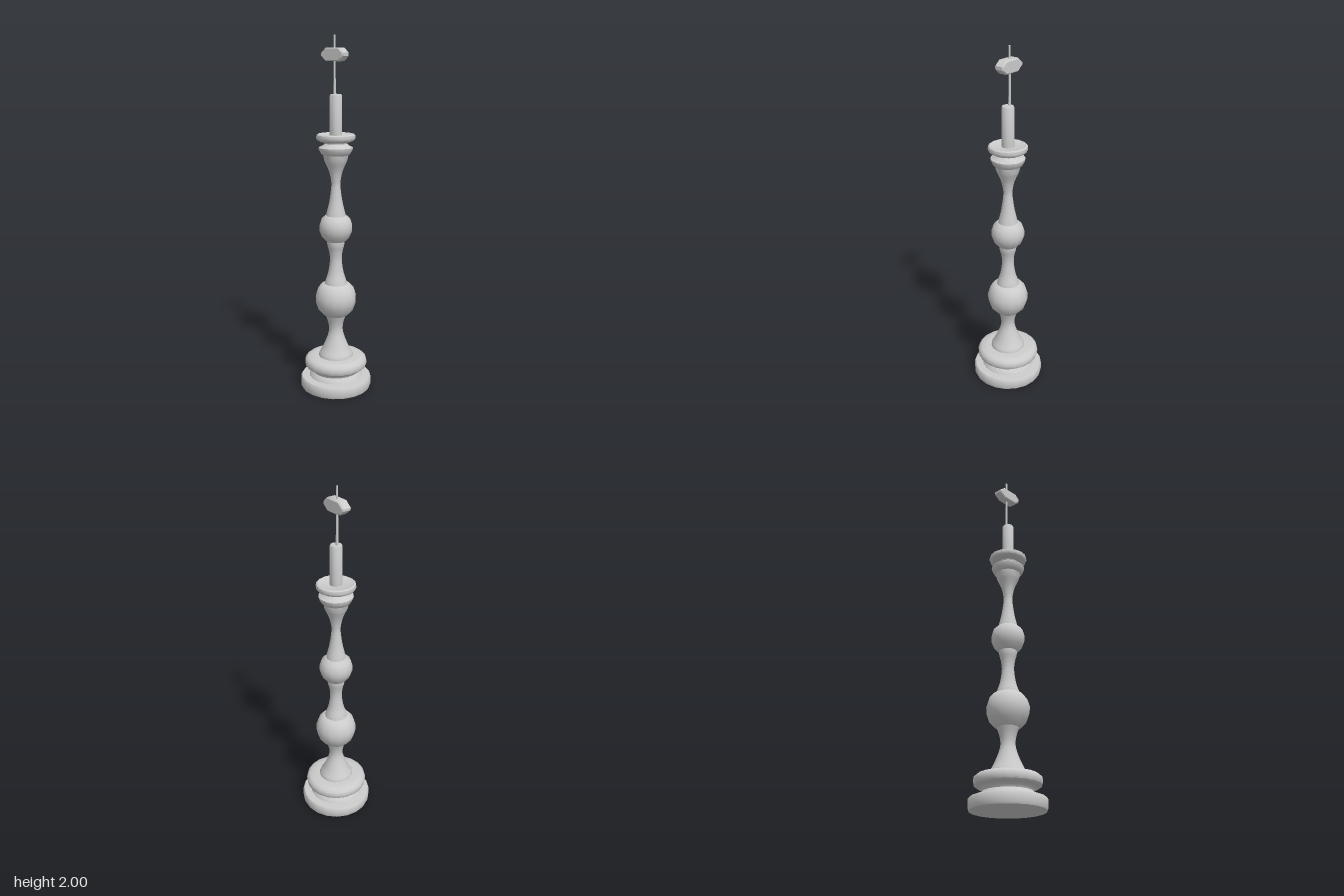
import * as THREE from 'three';
import { toCreasedNormals } from 'three/addons/utils/BufferGeometryUtils.js';

const material = new THREE.MeshStandardMaterial({ color: 0xcccccc });

export function createModel() {
  const group = new THREE.Group();

  const add = (name, geometry) => {
    const mesh = new THREE.Mesh(toCreasedNormals(geometry, 0.7), material);
    mesh.name = name;
    group.add(mesh);
    return mesh;
  };

  // Turned part from [radius, height] pairs, bottom to top
  const turned = (name, points, sides = 20) =>
    add(name, new THREE.LatheGeometry(points.map(([r, y]) => new THREE.Vector2(r, y)), sides));

  // Turned part whose profile is a smooth curve through the pairs
  const turnedSmooth = (name, points, sides = 16) => {
    const curve = new THREE.SplineCurve(points.map(([r, y]) => new THREE.Vector2(r, y)));
    return add(name, new THREE.LatheGeometry(curve.getPoints(points.length * 3), sides));
  };

  // Stepped foot
  turned('footPlate', [[0, 0], [0.2, 0], [0.205, 0.012], [0.205, 0.055], [0.198, 0.065], [0.15, 0.068], [0, 0.068]]);
  turned('footGroove', [[0.155, 0.066], [0.15, 0.078], [0.135, 0.095], [0.14, 0.108], [0.155, 0.118]]);
  turned('footRing', [[0.13, 0.114], [0.162, 0.118], [0.177, 0.13], [0.181, 0.15], [0.176, 0.17],
    [0.16, 0.183], [0.125, 0.187], [0, 0.187]]);

  // Waisted stem sections
  turnedSmooth('lowerStem', [[0.1, 0.183], [0.097, 0.2], [0.075, 0.24], [0.05, 0.3], [0.04, 0.345],
    [0.045, 0.39], [0.062, 0.44]]);
  turnedSmooth('middleStem', [[0.067, 0.61], [0.06, 0.64], [0.044, 0.69], [0.034, 0.76],
    [0.038, 0.81], [0.048, 0.85], [0.05, 0.885]]);
  turnedSmooth('upperStem', [[0.057, 1.01], [0.052, 1.035], [0.037, 1.1], [0.026, 1.18],
    [0.027, 1.22], [0.038, 1.27], [0.06, 1.32]]);

  // Ball knops with flattened ends
  turned('lowerKnop', [[0, 0.432], [0.068, 0.435], [0.1, 0.468], [0.116, 0.515], [0.117, 0.55],
    [0.104, 0.592], [0.08, 0.62], [0.062, 0.624], [0, 0.624]], 14);
  turned('upperKnop', [[0, 0.87], [0.055, 0.873], [0.08, 0.9], [0.093, 0.935], [0.093, 0.965],
    [0.082, 1.0], [0.06, 1.02], [0, 1.022]], 14);

  // Flared capital and drip dish
  turned('capital', [[0, 1.315], [0.057, 1.315], [0.064, 1.33], [0.07, 1.36], [0.08, 1.365],
    [0.094, 1.392], [0.095, 1.402], [0.072, 1.413], [0.062, 1.424], [0.066, 1.435]], 16);
  turned('dripDish', [[0.06, 1.43], [0.085, 1.433], [0.104, 1.444], [0.109, 1.457],
    [0.106, 1.471], [0.098, 1.476], [0.08, 1.47], [0, 1.466]], 16);

  // Candle and its thin rod
  turned('candle', [[0, 1.46], [0.034, 1.46], [0.034, 1.682], [0.03, 1.69], [0, 1.692]], 14);
  const rod = add('wickRod', new THREE.CylinderGeometry(0.005, 0.007, 0.32, 8));
  rod.position.set(0.002, 1.84, -0.011);

  // Six-sided slider on the rod, lying front to back
  const outline = [[-0.071, 1.89], [-0.04, 1.863], [0.052, 1.863], [0.088, 1.892],
    [0.088, 1.905], [0.052, 1.934], [-0.04, 1.934], [-0.071, 1.908]];
  const shape = new THREE.Shape(outline.map(([a, y]) => new THREE.Vector2(a, y)));
  const slider = new THREE.ExtrudeGeometry(shape, {
    depth: 0.044, bevelEnabled: true, bevelThickness: 0.006, bevelSize: 0.006, bevelOffset: -0.006, bevelSegments: 1,
  });
  slider.translate(0, 0, -0.022).rotateY(Math.PI / 2);
  add('slider', slider);

  return group;
}
